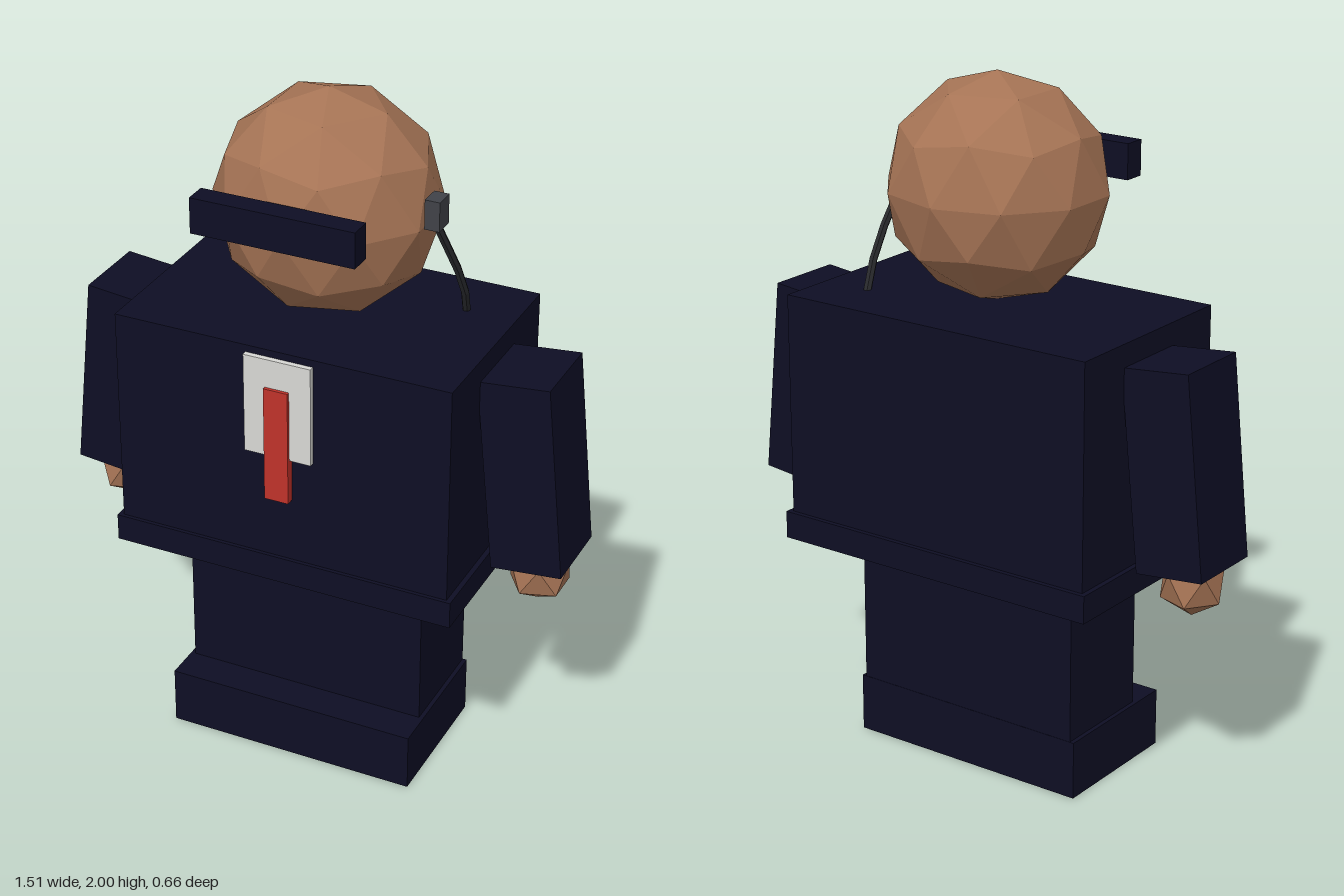
import * as THREE from 'three';

const mat = (name, color) => {
  const m = new THREE.MeshStandardMaterial({ color, flatShading: true });
  m.name = name;
  return m;
};

export function createModel() {
  const model = new THREE.Group();
  model.name = 'suitedFigure';

  const navy = mat('navy suit', 0x0e0e24);
  const skin = mat('brown skin', 0xa67455);
  const white = mat('shirt white', 0xd8d8d4);
  const red = mat('tie red', 0xc0322a);
  const grey = mat('earpiece grey', 0x404248);
  const black = mat('cable black', 0x28292c);

  const add = (name, geometry, material, x = 0, y = 0, z = 0) => {
    const mesh = new THREE.Mesh(geometry, material);
    mesh.name = name;
    mesh.position.set(x, y, z);
    model.add(mesh);
    return mesh;
  };
  // Box given by its lower and upper limits on each axis
  const box = (name, material, [x0, x1], [y0, y1], [z0, z1]) =>
    add(name, new THREE.BoxGeometry(x1 - x0, y1 - y0, z1 - z0), material,
      (x0 + x1) / 2, (y0 + y1) / 2, (z0 + z1) / 2);
  // Faceted ball standing on one of its corners
  const ball = (radius, detail) =>
    new THREE.IcosahedronGeometry(radius, detail).rotateZ(-Math.atan2(2, 1 + Math.sqrt(5)));

  const zMid = -0.013;

  // Jacket with a wider hem
  box('jacket', navy, [-0.5, 0.5], [0.7, 1.356], [-0.318, 0.295]);
  box('jacketHem', navy, [-0.515, 0.515], [0.63, 0.71], [-0.332, 0.306]);

  // Shirt front and tie
  box('shirtFront', white, [-0.1, 0.1], [1.038, 1.335], [0.29, 0.311]);
  box('tie', red, [-0.036, 0.036], [0.905, 1.25], [0.295, 0.321]);

  // Legs and shoes
  for (const side of [-1, 1]) {
    const span = (w) => (side > 0 ? [0, w] : [-w, 0]);
    box(side > 0 ? 'leftLeg' : 'rightLeg', navy, span(0.364), [0.15, 0.66], [-0.17, 0.148]);
    box(side > 0 ? 'leftShoe' : 'rightShoe', navy, span(0.377), [0, 0.172], [-0.171, 0.254]);
  }

  // Arms splayed slightly outward, with faceted hands
  for (const side of [-1, 1]) {
    const prefix = side > 0 ? 'left' : 'right';
    const arm = add(prefix + 'Arm', new THREE.BoxGeometry(0.207, 0.576, 0.236), navy,
      side * 0.623, 1.013, zMid - 0.002);
    arm.rotation.z = side * 0.1;
    add(prefix + 'Hand', ball(0.097, 0), skin, side * 0.651, 0.675, zMid + 0.002);
  }

  // Head, a little flatter from front to back
  const head = add('head', ball(0.32, 1), skin, 0, 1.68, zMid);
  head.scale.z = 0.94;

  // Dark glasses bar
  box('glasses', navy, [-0.238, 0.238], [1.673, 1.776], [0.266, 0.332]);

  // Earpiece with a cable running down to the back of the shoulder
  box('earpiece', grey, [0.311, 0.354], [1.682, 1.767], [0, 0.062]);
  const path = new THREE.CatmullRomCurve3([
    new THREE.Vector3(0.331, 1.695, 0.034),
    new THREE.Vector3(0.364, 1.465, -0.088),
    new THREE.Vector3(0.351, 1.345, -0.152),
  ]);
  add('earpieceCable', new THREE.TubeGeometry(path, 4, 0.012, 6, false), black);

  return model;
}
